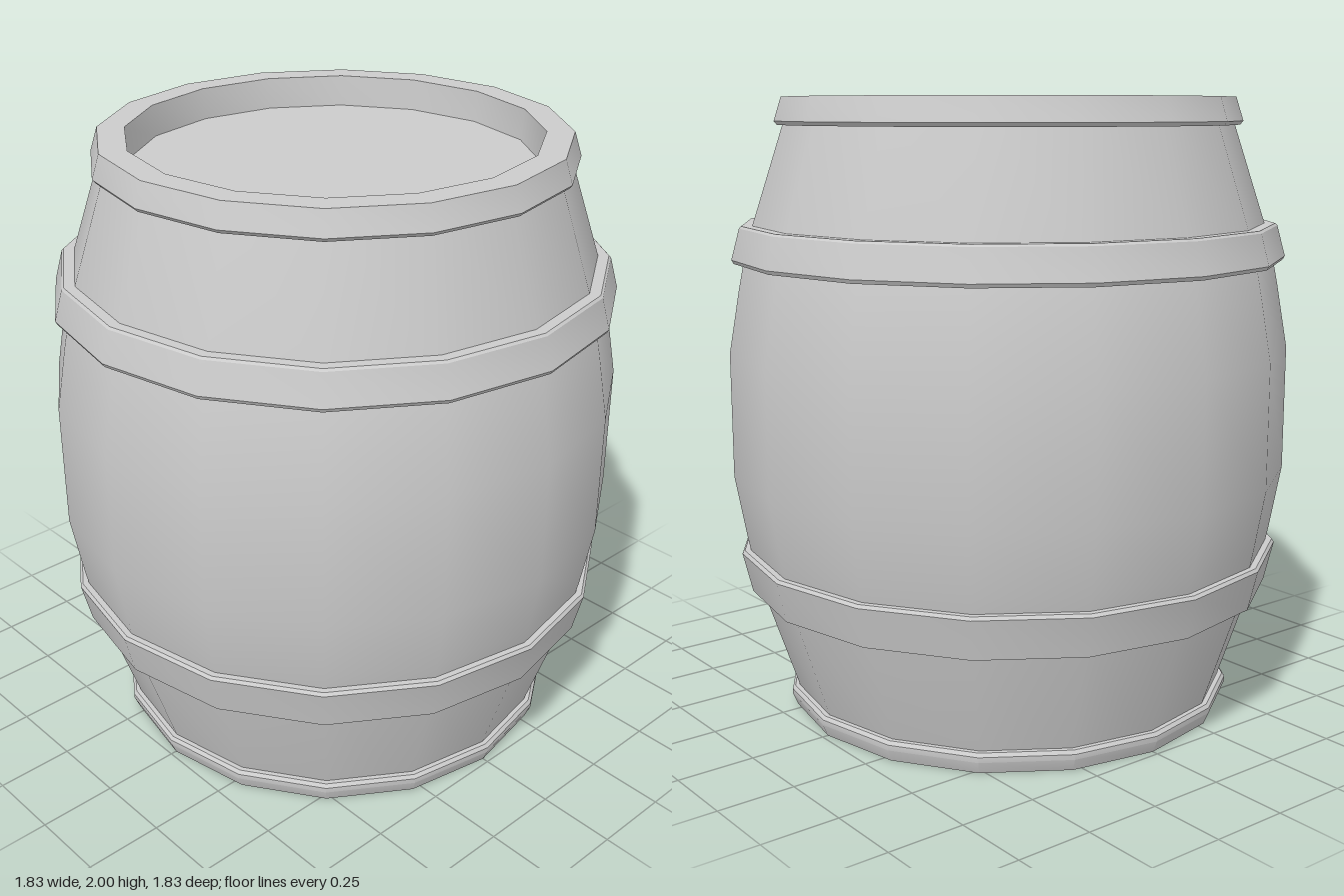
import * as THREE from 'three';
import { toCreasedNormals } from 'three/addons/utils/BufferGeometryUtils.js';

const SIDES = 16;

export function createModel() {
  const barrel = new THREE.Group();
  barrel.name = 'barrel';
  const material = new THREE.MeshStandardMaterial({ color: 0xcccccc });

  // Revolve [radius, height] points, listed upwards along the outside
  function turn(name, points) {
    const profile = points.map(([r, y]) => new THREE.Vector2(r, y));
    const geometry = toCreasedNormals(new THREE.LatheGeometry(profile, SIDES), 0.45);
    const mesh = new THREE.Mesh(geometry, material);
    mesh.name = name;
    barrel.add(mesh);
  }

  // Bulging staves with a flat rim and a short inner wall at each end
  turn('staves', [
    [0.637, 0.1], [0.645, 0], [0.7, 0],
    [0.852, 0.46], [0.88, 0.6], [0.915, 0.8],
    [0.915, 1.2], [0.88, 1.4], [0.852, 1.54],
    [0.7, 2], [0.645, 2], [0.637, 1.9],
  ]);

  // Recessed flat ends
  for (const [name, y, turnX] of [['lid', 1.9, -1], ['base', 0.1, 1]]) {
    const disc = new THREE.Mesh(new THREE.CircleGeometry(0.64, SIDES), material);
    disc.name = name;
    disc.rotation.x = turnX * Math.PI / 2;
    disc.position.y = y;
    barrel.add(disc);
  }

  // Closed hoops that taper with the staves, with a small bevel at the wide edge
  turn('bottomHoop', [[0.69, 0], [0.73, 0], [0.747, 0.04], [0.747, 0.057], [0.738, 0.068], [0.71, 0.068]]);
  turn('lowerHoop', [[0.82, 0.41], [0.867, 0.41], [0.898, 0.54], [0.89, 0.55], [0.85, 0.55]]);
  turn('upperHoop', [[0.85, 1.485], [0.893, 1.485], [0.9, 1.497], [0.873, 1.595], [0.866, 1.602], [0.82, 1.602]]);
  turn('topHoop', [[0.71, 1.913], [0.745, 1.913], [0.755, 1.925], [0.731, 2], [0.69, 2]]);

  return barrel;
}
